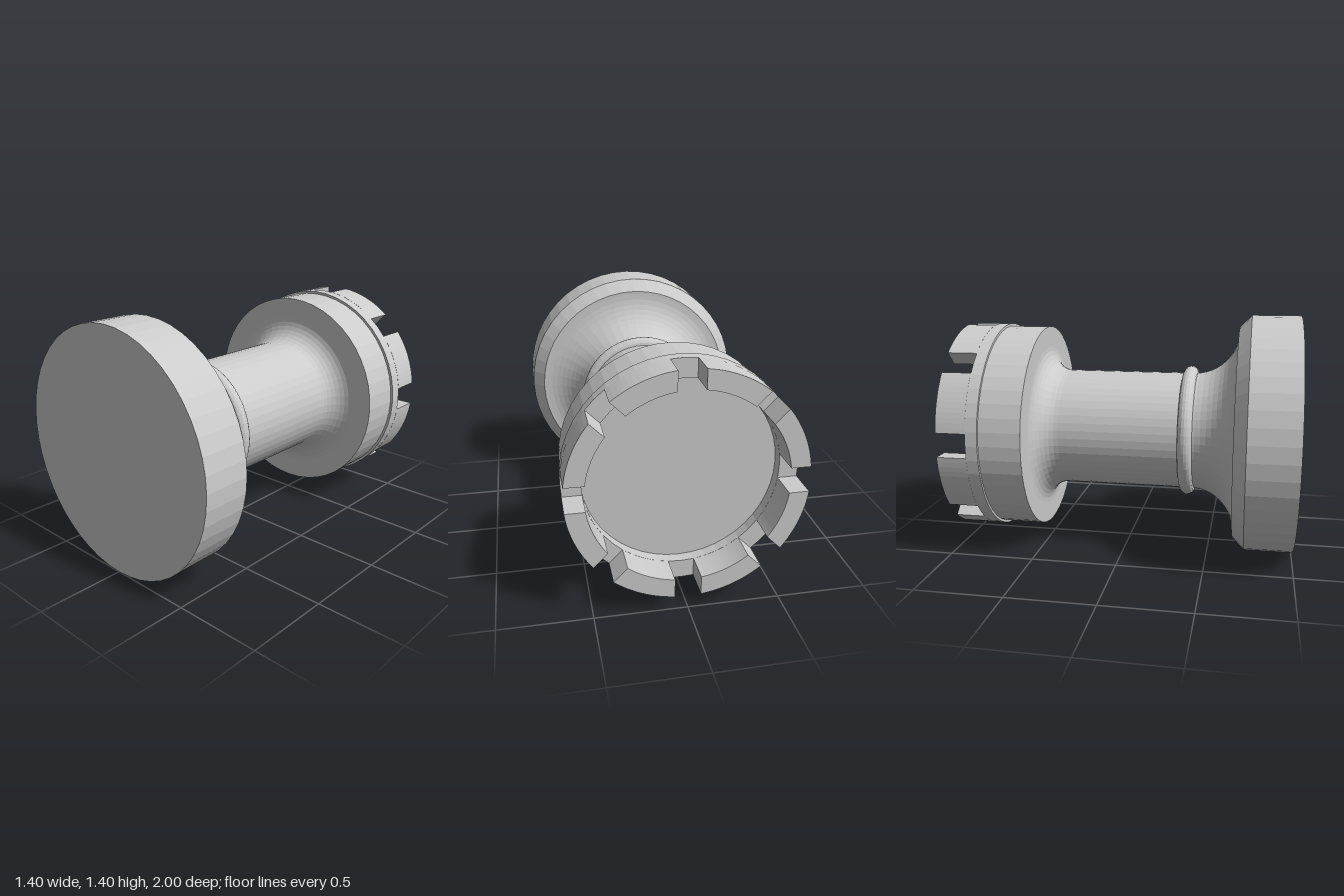
import * as THREE from 'three';

const SEGMENTS = 48;
const AXIS_Y = 0.7;

export function createModel() {
  const model = new THREE.Group();
  const material = new THREE.MeshStandardMaterial({ color: 0xcccccc, flatShading: true });

  function add(name, geometry) {
    const mesh = new THREE.Mesh(geometry, material);
    mesh.name = name;
    mesh.position.y = AXIS_Y;
    model.add(mesh);
    return mesh;
  }

  // Turned part lying along z: the profile lists [radius, z] from front to back.
  function turned(name, profile) {
    const points = profile.map(([r, z]) => new THREE.Vector2(r, -z));
    const geometry = new THREE.LatheGeometry(points, SEGMENTS);
    geometry.rotateX(-Math.PI / 2);
    return add(name, geometry);
  }

  // Quarter-circle profile, angles in (radius, z) space.
  function arc(r, z, size, from, to, steps) {
    return Array.from({ length: steps + 1 }, (_, i) => {
      const a = from + ((to - from) * i) / steps;
      return [r + size * Math.cos(a), z + size * Math.sin(a)];
    });
  }

  // Chamfered foot
  turned('base', [[0, 1], [0.7, 1], [0.7, 0.72], [0.63, 0.65], [0.6, 0.65]]);

  // Column flaring into the foot and the head
  turned('stem', [
    ...arc(0.61, 0.39, 0.26, Math.PI / 2, Math.PI, 12),
    ...arc(0.49, -0.37, 0.14, Math.PI, Math.PI * 1.5, 8),
  ]);

  // Rounded ring around the column
  add('collar', new THREE.TorusGeometry(0.35, 0.042, 16, SEGMENTS)).position.z = 0.368;

  // Drum and hollow rim, including the recessed floor
  turned('head', [[0.48, -0.51], [0.615, -0.51], [0.615, -0.755], [0.62, -0.755]]);
  const outer = 0.63, inner = 0.525, slotZ = -0.825;
  turned('rim', [
    [0.61, -0.755], [outer, -0.755], [outer, slotZ], [inner, slotZ], [inner, -0.76], [0, -0.76],
  ]);

  // Eight battlements separated by parallel-sided slots
  const halfSlot = 0.07, count = 8, step = (Math.PI * 2) / count;
  const a = Math.asin(halfSlot / outer), b = Math.asin(halfSlot / inner);
  const shape = new THREE.Shape();
  shape.absarc(0, 0, outer, a, step - a, false);
  shape.absarc(0, 0, inner, step - b, b, true);
  shape.closePath();
  const block = new THREE.ExtrudeGeometry(shape, {
    depth: 1 + slotZ, bevelEnabled: false, curveSegments: 6,
  });
  for (let i = 0; i < count; i++) {
    const mesh = add('battlement', block);
    mesh.position.z = -1;
    mesh.rotation.z = i * step;
  }

  return model;
}
